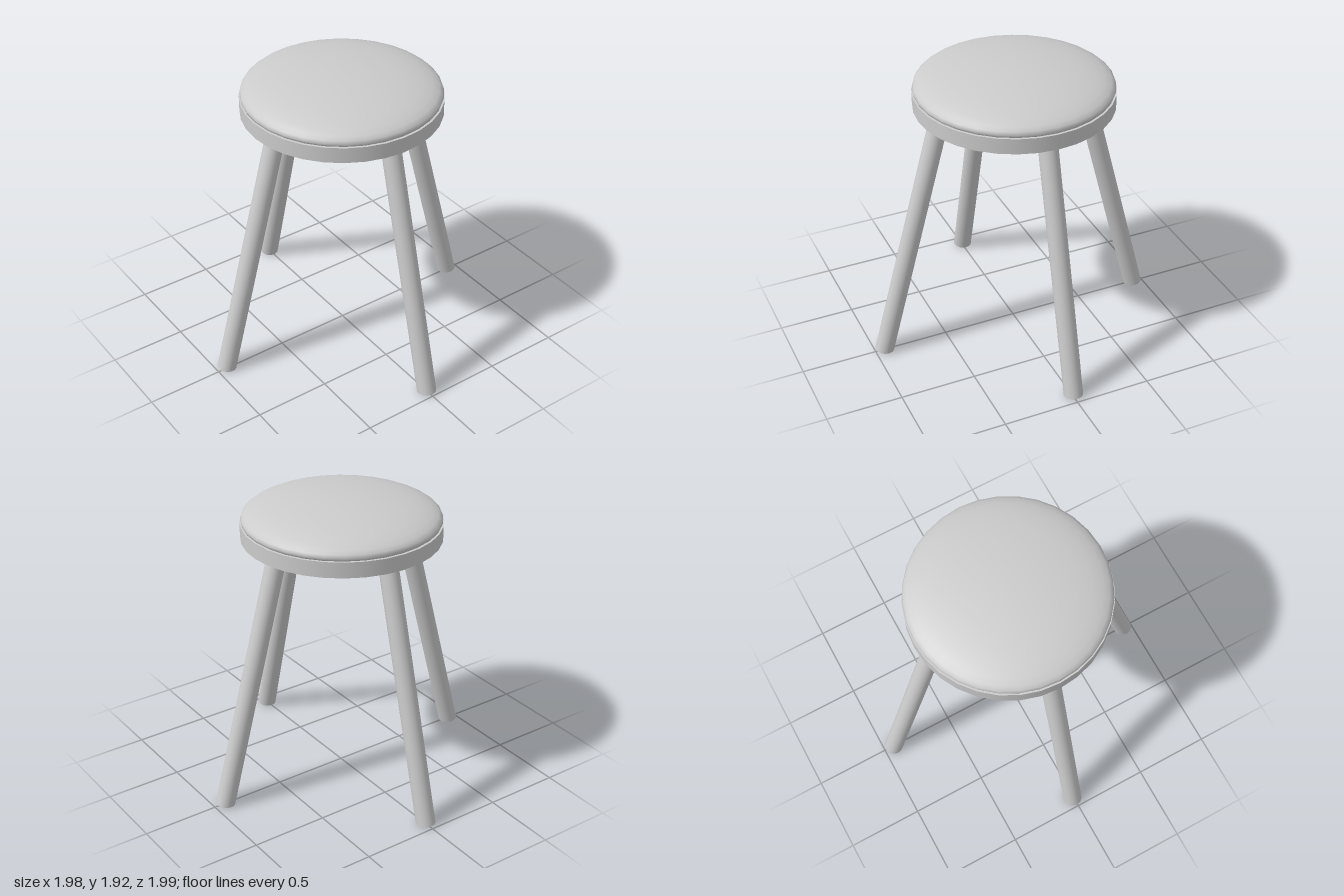
import * as THREE from 'three';

const material = new THREE.MeshStandardMaterial({ color: 0xcccccc });
const SEAT_Z = -0.008;

function addMesh(group, name, geometry) {
  const mesh = new THREE.Mesh(geometry, material);
  mesh.name = name;
  group.add(mesh);
  return mesh;
}

// A round leg leaning along +x, its foot cut slightly off square.
function legGeometry() {
  const bottom = 0.009, top = 1.73, lean = 0.267, cut = 0.13;
  const geometry = new THREE.CylinderGeometry(0.0622, 0.0622, top - bottom, 32);
  geometry.translate(0, (top + bottom) / 2, 0);
  const p = geometry.attributes.position;
  for (let i = 0; i < p.count; i++) {
    const x = p.getX(i), y = p.getY(i);
    p.setXY(i, 0.927 + x - lean * (y - bottom), y + cut * x);
  }
  geometry.computeVertexNormals();
  // Close the shading seam along the side.
  const n = geometry.attributes.normal;
  for (const row of [0, 33]) {
    const a = new THREE.Vector3().fromBufferAttribute(n, row);
    a.add(new THREE.Vector3().fromBufferAttribute(n, row + 32)).normalize();
    for (const i of [row, row + 32]) n.setXYZ(i, a.x, a.y, a.z);
  }
  return geometry;
}

export function createModel() {
  const stool = new THREE.Group();
  stool.name = 'stool';

  // Seat board
  const board = addMesh(stool, 'seatBoard', new THREE.CylinderGeometry(0.638, 0.638, 0.102, 32));
  board.position.set(0, 1.722, SEAT_Z);

  // Domed cushion
  const profile = [
    [0, 1.768], [0.615, 1.768], [0.628, 1.778], [0.633, 1.795], [0.626, 1.814],
    [0.605, 1.832], [0.565, 1.852], [0.5, 1.873], [0.41, 1.892],
    [0.3, 1.907], [0.18, 1.918], [0.08, 1.922], [0, 1.923],
  ].map(([r, y]) => new THREE.Vector2(r, y));
  const cushion = addMesh(stool, 'cushion', new THREE.LatheGeometry(profile, 32));
  cushion.position.z = SEAT_Z;

  // Four splayed legs
  const leg = legGeometry();
  [
    ['leftLeg', 0, -0.003, SEAT_Z],
    ['backLeg', 1, 0, -0.002],
    ['rightLeg', 2, -0.003, SEAT_Z],
    ['frontLeg', 3, 0, 0.009],
  ].forEach(([name, turn, x, z]) => {
    const mesh = addMesh(stool, name, leg);
    mesh.rotation.y = turn * Math.PI / 2;
    mesh.position.set(x, 0, z);
  });

  return stool;
}
